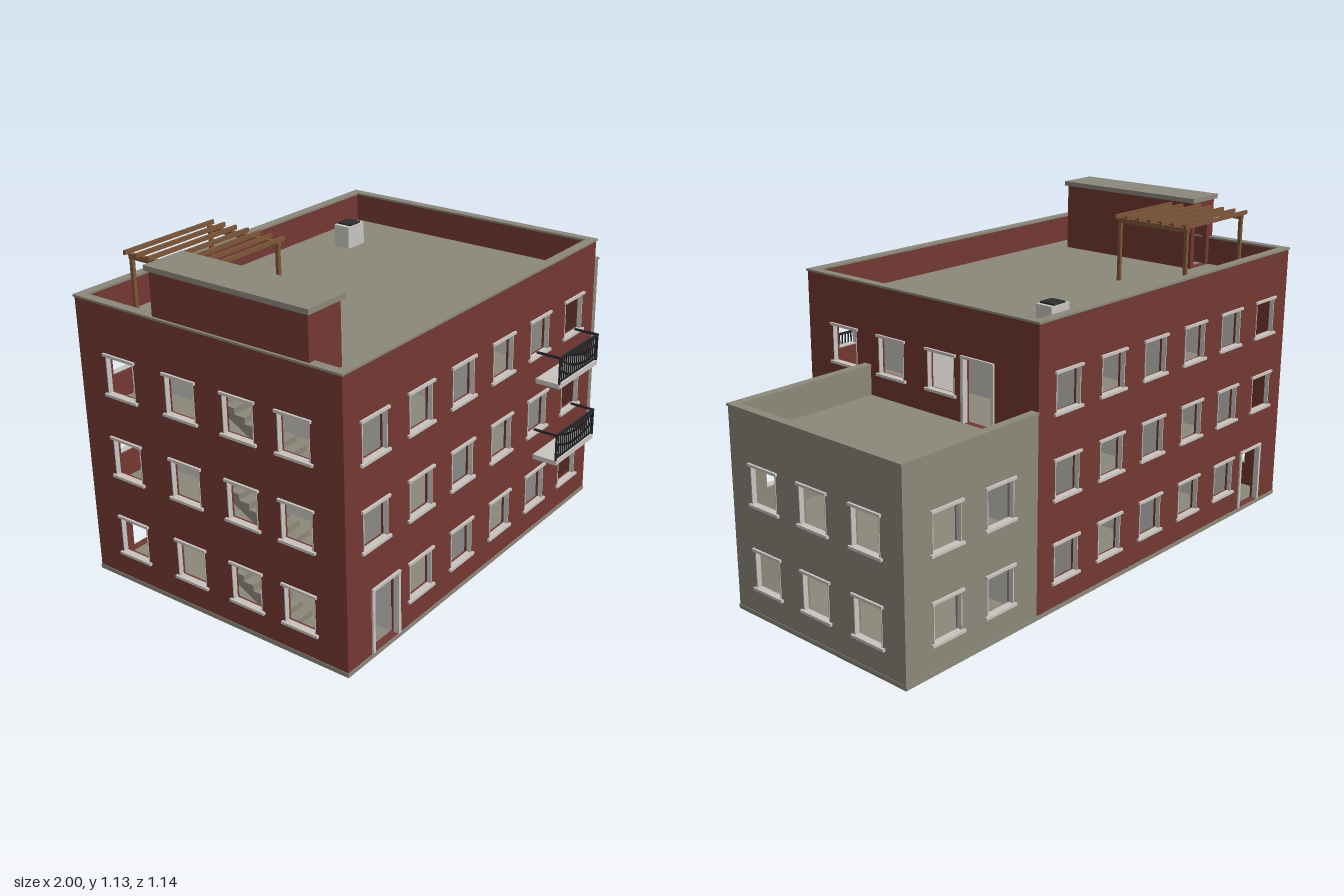
import * as THREE from 'three';

const mat = (name, color, side = THREE.FrontSide) => {
  const m = new THREE.MeshStandardMaterial({ color, side });
  m.name = name;
  return m;
};

export function createModel() {
  const red = mat('red brick', 0x743832);
  const tan = mat('tan render', 0x8b877a);
  const pale = mat('pale plaster', 0xc8c5c0);
  const iron = mat('black iron', 0x23272a);
  const wood = mat('wood', 0x7d5638);
  const green = mat('hedge green', 0x3a7530);
  const dark = mat('dark vent', 0x2c2d30);

  const root = new THREE.Group();
  root.name = 'apartmentBuilding';
  const T = 0.025; // wall thickness
  const LEVELS = [0.015, 0.298, 0.581];
  const ROOF = 0.865, TOP = 0.965, ANNEX_ROOF = 0.585, ANNEX_TOP = 0.685;

  // Box given by its limits on each axis
  const box = (name, m, x0, x1, y0, y1, z0, z1, parent = root) => {
    const mesh = new THREE.Mesh(new THREE.BoxGeometry(x1 - x0, y1 - y0, z1 - z0), m);
    mesh.position.set((x0 + x1) / 2, (y0 + y1) / 2, (z0 + z1) / 2);
    mesh.name = name;
    parent.add(mesh);
    return mesh;
  };

  const rect = (C, x0, x1, y0, y1) => {
    const p = new C();
    p.moveTo(x0, y0); p.lineTo(x1, y0); p.lineTo(x1, y1); p.lineTo(x0, y1);
    p.closePath();
    return p;
  };

  // Wall in its own frame: u runs along x, the outer face looks to +z at z = 0
  const wall = (name, m, u0, u1, y0, y1, openings, t = T) => {
    const g = new THREE.Group();
    g.name = name;
    const shape = rect(THREE.Shape, u0, u1, y0, y1);
    for (const o of openings) {
      const [a, b, c, d] = [o.u - o.w / 2, o.u + o.w / 2, o.y, o.y + o.h];
      shape.holes.push(rect(THREE.Path, a, b, c, d));
      if (o.plain) continue;
      // Lintel, sill and slim jambs; doors get a full surround instead
      const e = o.door ? 0.009 : 0.003, p = o.door ? 0.006 : 0.002;
      box('leftJamb', pale, a - (o.door ? e : 0), a + (o.door ? 0.002 : e), c, d, -0.015, p, g);
      box('rightJamb', pale, b - (o.door ? 0.002 : e), b + (o.door ? e : 0), c, d, -0.015, p, g);
      box('lintel', pale, a - 0.008, b + 0.008, d - 0.003, d + 0.006, -0.015, 0.008, g);
      if (!o.door) box('sill', pale, a - 0.01, b + 0.01, c - 0.006, c + 0.003, -0.015, 0.009, g);
    }
    const geo = new THREE.ExtrudeGeometry(shape, { depth: t, bevelEnabled: false });
    geo.translate(0, 0, -t);
    const mesh = new THREE.Mesh(geo, m);
    mesh.name = 'wallPanel';
    g.add(mesh);
    root.add(g);
    return g;
  };
  const place = (g, x, z, turn) => {
    g.position.set(x, 0, z);
    g.rotation.y = turn * Math.PI / 2;
  };

  const windowAt = (u, level) => ({ u, y: LEVELS[level] + 0.086, w: 0.118, h: 0.131 });
  const doorAt = (u, level) => ({ u, y: LEVELS[level] + 0.003, w: 0.122, h: 0.218, door: true });
  const rows = (us, levels) => levels.flatMap(l => us.map(u => windowAt(u, l)));

  // Main block walls
  const X0 = -0.99, X1 = 0.42, Z0 = -0.565, Z1 = 0.475, AX1 = 0.99, AZ1 = 0.195;
  const cols = [-0.85, -0.625, -0.4, -0.172, 0.055, 0.28];
  const flip = a => a.map(v => -v);
  const front = [...rows(cols, [1, 2]), ...rows(cols.slice(1), [0]), doorAt(-0.805, 0)];
  const mirrored = front.map(o => ({ ...o, u: -o.u }));
  place(wall('frontWall', red, X0, X1, 0.012, TOP, front), 0, Z1, 0);
  place(wall('backWall', red, -X1, -X0, 0.012, TOP, mirrored), 0, Z0, 2);
  place(wall('leftEndWall', red, Z0 + T, Z1 - T, 0.012, TOP,
    rows([-0.39, -0.14, 0.09, 0.298], [0, 1, 2])), X0, 0, -1);
  place(wall('rightEndWall', red, -Z1 + T, -Z0 - T, 0.012, TOP,
    [...rows([-0.295], [0, 1, 2]), ...rows(flip([0.07, -0.157]), [2]), doorAt(0.317, 2)]), X1, 0, 1);

  // Annex walls
  const aCols = [0.59, 0.818];
  place(wall('annexFrontWall', tan, X1, AX1, 0.012, ANNEX_TOP,
    [...rows(aCols, [1]), doorAt(0.705, 0)]), 0, AZ1, 0);
  place(wall('annexBackWall', tan, -AX1, -X1, 0.012, ANNEX_TOP, rows(flip(aCols), [0, 1])), 0, Z0, 2);
  place(wall('annexEndWall', tan, -AZ1 + T, -Z0 - T, 0.012, ANNEX_TOP,
    rows(flip([0.04, -0.185, -0.413]), [0, 1])), AX1, 0, 1);

  // Ground slabs
  box('groundSlab', tan, X0 - 0.002, X1, 0, 0.015, Z0 - 0.002, Z1 + 0.002);
  box('annexGroundSlab', tan, X1, AX1 + 0.002, 0, 0.015, Z0 - 0.002, AZ1 + 0.002);

  // Floors and roof deck, each with a stair opening
  const slab = (name, top) => {
    const s = rect(THREE.Shape, X0 + T, X1 - T, -Z1 + T, -Z0 - T);
    s.holes.push(rect(THREE.Path, -0.962, -0.865, -0.335, 0.225));
    const geo = new THREE.ExtrudeGeometry(s, { depth: 0.02, bevelEnabled: false });
    geo.rotateX(-Math.PI / 2);
    const mesh = new THREE.Mesh(geo, tan);
    mesh.position.y = top - 0.02;
    mesh.name = name;
    root.add(mesh);
  };
  slab('firstFloor', LEVELS[1]);
  slab('secondFloor', LEVELS[2]);
  slab('roofDeck', ROOF);
  box('annexFloor', tan, X1, AX1 - T, 0.278, LEVELS[1], Z0 + T, AZ1 - T);
  box('annexRoofDeck', tan, X1, AX1 - T, ANNEX_ROOF - 0.02, ANNEX_ROOF, Z0 + T, AZ1 - T);

  // Interior partitions on every floor
  LEVELS.forEach((y, i) => {
    const h = (LEVELS[i + 1] ?? ROOF) - 0.02;
    box('stairwellPartition', pale, -0.745, -0.733, y, h, Z0 + T, Z1 - T);
    box('spinePartition', pale, -0.733, X1 - T, y, h, -0.05, -0.038);
    for (const x of [-0.285, 0.165]) box('roomPartition', pale, x, x + 0.012, y, h, Z0 + T, Z1 - T);
  });
  box('annexLining', pale, X1, X1 + 0.006, 0.015, ANNEX_ROOF - 0.02, Z0 + T, AZ1 - T);

  // Parapet caps
  const caps = (name, x0, x1, z0, z1, y, sides) => {
    const o = 0.004, w = T + 0.003, h = 0.007;
    box(name, tan, x0 - (sides ? o : 0), x1 + o, y, y + h, z1 - w, z1 + o);
    box(name, tan, x0 - (sides ? o : 0), x1 + o, y, y + h, z0 - o, z0 + w);
    box(name, tan, x1 - w, x1 + o, y, y + h, z0 + w, z1 - w);
    if (sides) box(name, tan, x0 - o, x0 + w, y, y + h, z0 + w, z1 - w);
  };
  caps('parapetCap', X0, X1, Z0, Z1, TOP, true);
  caps('annexParapetCap', X1, AX1, Z0, AZ1, ANNEX_TOP, false);

  // Stair flights climbing towards the back
  const STEPS = 14, run = 0.53 / STEPS;
  LEVELS.forEach((y, i) => {
    const rise = ((LEVELS[i + 1] ?? ROOF) - y) / STEPS;
    const s = new THREE.Shape();
    s.moveTo(0, 0);
    for (let k = 0; k < STEPS; k++) {
      s.lineTo(k * run, (k + 1) * rise);
      s.lineTo((k + 1) * run, (k + 1) * rise);
    }
    s.lineTo(STEPS * run, (STEPS - 1.5) * rise);
    s.lineTo(1.5 * run, 0);
    s.closePath();
    const geo = new THREE.ExtrudeGeometry(s, { depth: 0.095, bevelEnabled: false });
    geo.rotateY(Math.PI / 2);
    const flight = new THREE.Mesh(geo, tan);
    flight.position.set(-0.961, y, 0.315);
    flight.name = 'stairFlight';
    root.add(flight);
  });

  // Rooftop stair house with a doorway at the back
  const HX0 = -0.986, HX1 = -0.845, HZ0 = -0.235, HZ1 = 0.36, HT = 0.02, HY = 1.115;
  place(wall('stairHouseFront', red, HX0, HX1, ROOF, HY, [], HT), 0, HZ1, 0);
  place(wall('stairHouseBack', red, -HX1, -HX0, ROOF, HY,
    [{ u: 0.907, y: ROOF + 0.004, w: 0.08, h: 0.2, plain: true }], HT), 0, HZ0, 2);
  place(wall('stairHouseLeft', red, HZ0 + HT, HZ1 - HT, ROOF, HY, [], HT), HX0, 0, -1);
  place(wall('stairHouseRight', red, -HZ1 + HT, -HZ0 - HT, ROOF, HY, [], HT), HX1, 0, 1);
  box('stairHouseRoof', tan, -0.996, -0.835, HY, 1.132, -0.245, 0.371);

  // Pergola
  for (const x of [-0.865, -0.52]) {
    for (const z of [-0.147, -0.432]) box('pergolaPost', wood, x - 0.006, x + 0.006, ROOF, 1.08, z - 0.006, z + 0.006);
    box('pergolaBeam', wood, x - 0.007, x + 0.007, 1.078, 1.095, -0.44, -0.138);
  }
  for (let i = 0; i < 7; i++) {
    const z = -0.44 + i * 0.05;
    box('pergolaSlat', wood, -0.888, -0.497, 1.094, 1.108, z - 0.004, z + 0.004);
  }

  // Roof vent and planter
  box('ventBox', pale, 0.092, 0.182, ROOF, 0.945, -0.412, -0.348);
  box('ventOpening', dark, 0.109, 0.167, 0.945, 0.951, -0.408, -0.352);
  box('planter', wood, 0.58, 0.96, ANNEX_ROOF, 0.645, -0.539, -0.503);
  box('hedge', green, 0.587, 0.953, 0.645, 0.67, -0.533, -0.509);

  // Balconies with railings
  for (const y of [0.285, 0.568]) {
    const b = new THREE.Group();
    b.name = 'balcony';
    root.add(b);
    const top = y + 0.114;
    box('balconySlab', pale, 0.04, 0.3, y, y + 0.017, Z1, 0.566, b);
    box('frontTopRail', iron, 0.04, 0.3, top - 0.007, top, 0.56, 0.567, b);
    box('frontBottomRail', iron, 0.04, 0.3, y + 0.024, y + 0.029, 0.561, 0.566, b);
    for (const x of [0.04, 0.294]) {
      box('sideTopRail', iron, x, x + 0.006, top - 0.007, top, Z1, 0.56, b);
      box('railPost', iron, x, x + 0.006, y + 0.017, top - 0.007, 0.56, 0.566, b);
    }
    for (let i = 1; i < 18; i++) {
      const x = 0.043 + i * 0.254 / 18;
      box('baluster', iron, x - 0.002, x + 0.002, y + 0.026, top - 0.005, 0.5615, 0.5655, b);
    }
  }
  return root;
}
